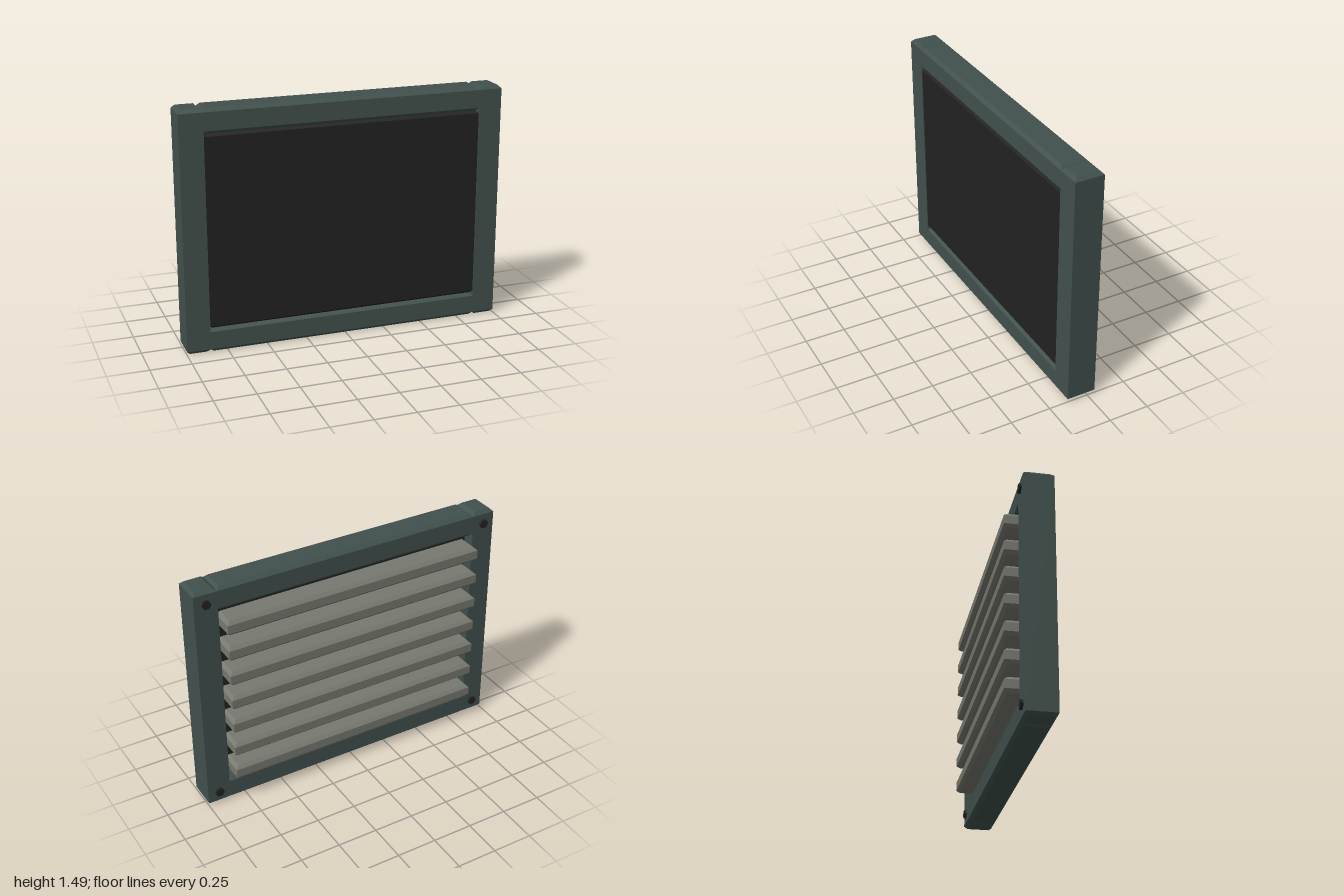
import * as THREE from 'three';

const frameGreen = new THREE.MeshStandardMaterial({ name: 'frame green', color: 0x41514d });
const panelBlack = new THREE.MeshStandardMaterial({ name: 'panel black', color: 0x222222 });
const slatGrey = new THREE.MeshStandardMaterial({ name: 'slat grey', color: 0x777a70 });

// Box spanning the given ranges, with its top and bottom rims bevelled
function bevelledBar(name, material, [x0, x1], [y0, y1], [z0, z1], bevel) {
  const w = x1 - x0, h = y1 - y0, d = z1 - z0;
  const box = new THREE.BoxGeometry(w, h, d, 1, 3, 1);
  const p = box.attributes.position;
  for (let i = 0; i < p.count; i++) {
    const y = p.getY(i);
    if (Math.abs(y) > h / 2 - 1e-4) {
      p.setX(i, p.getX(i) - Math.sign(p.getX(i)) * bevel);
      p.setZ(i, p.getZ(i) - Math.sign(p.getZ(i)) * bevel);
    } else {
      p.setY(i, Math.sign(y) * (h / 2 - bevel));
    }
  }
  const geometry = box.toNonIndexed();
  geometry.computeVertexNormals();
  const mesh = new THREE.Mesh(geometry, material);
  mesh.name = name;
  mesh.position.set((x0 + x1) / 2, (y0 + y1) / 2, (z0 + z1) / 2);
  return mesh;
}

export function createModel() {
  const model = new THREE.Group();
  model.name = 'louvredPanel';
  const height = 1.485, inner = 0.855, rail = 0.15, bevel = 0.02;
  const depth = [-0.05, 0.13];

  // Frame: two full-height stiles with rails between them
  model.add(
    bevelledBar('leftStile', frameGreen, [inner, 1], [0, height], depth, bevel),
    bevelledBar('rightStile', frameGreen, [-1, -inner], [0, height], depth, bevel),
    bevelledBar('bottomRail', frameGreen, [-inner, inner], [0, rail], depth, bevel),
    bevelledBar('topRail', frameGreen, [-inner, inner], [height - rail, height], depth, bevel),
  );

  // Dark panel filling the front of the frame
  model.add(bevelledBar('frontPanel', panelBlack, [-inner, inner], [rail, height - rail], [0.03, 0.125], 0.014));

  // Horizontal slats standing out at the back
  const slats = new THREE.Group();
  slats.name = 'slats';
  for (let i = 0; i < 7; i++) {
    const y = height / 2 + (i - 3) * 0.169;
    slats.add(bevelledBar('slat', slatGrey, [-0.84, 0.84], [y - 0.047, y + 0.047], [-0.13, 0.031], bevel));
  }
  model.add(slats);

  // Hexagonal bolt heads on the back corners
  const boltGeometry = new THREE.CylinderGeometry(0.029, 0.029, 0.03, 6).toNonIndexed();
  boltGeometry.rotateY(Math.PI / 2);
  boltGeometry.rotateX(Math.PI / 2);
  boltGeometry.rotateZ(Math.PI / 6);
  boltGeometry.rotateZ(Math.PI / 6);
  boltGeometry.computeVertexNormals();
  for (const x of [-0.927, 0.927]) {
    for (const y of [0.082, height - 0.082]) {
      const bolt = new THREE.Mesh(boltGeometry, panelBlack);
      bolt.name = 'bolt';
      bolt.position.set(x, y, -0.05);
      model.add(bolt);
    }
  }
  return model;
}
